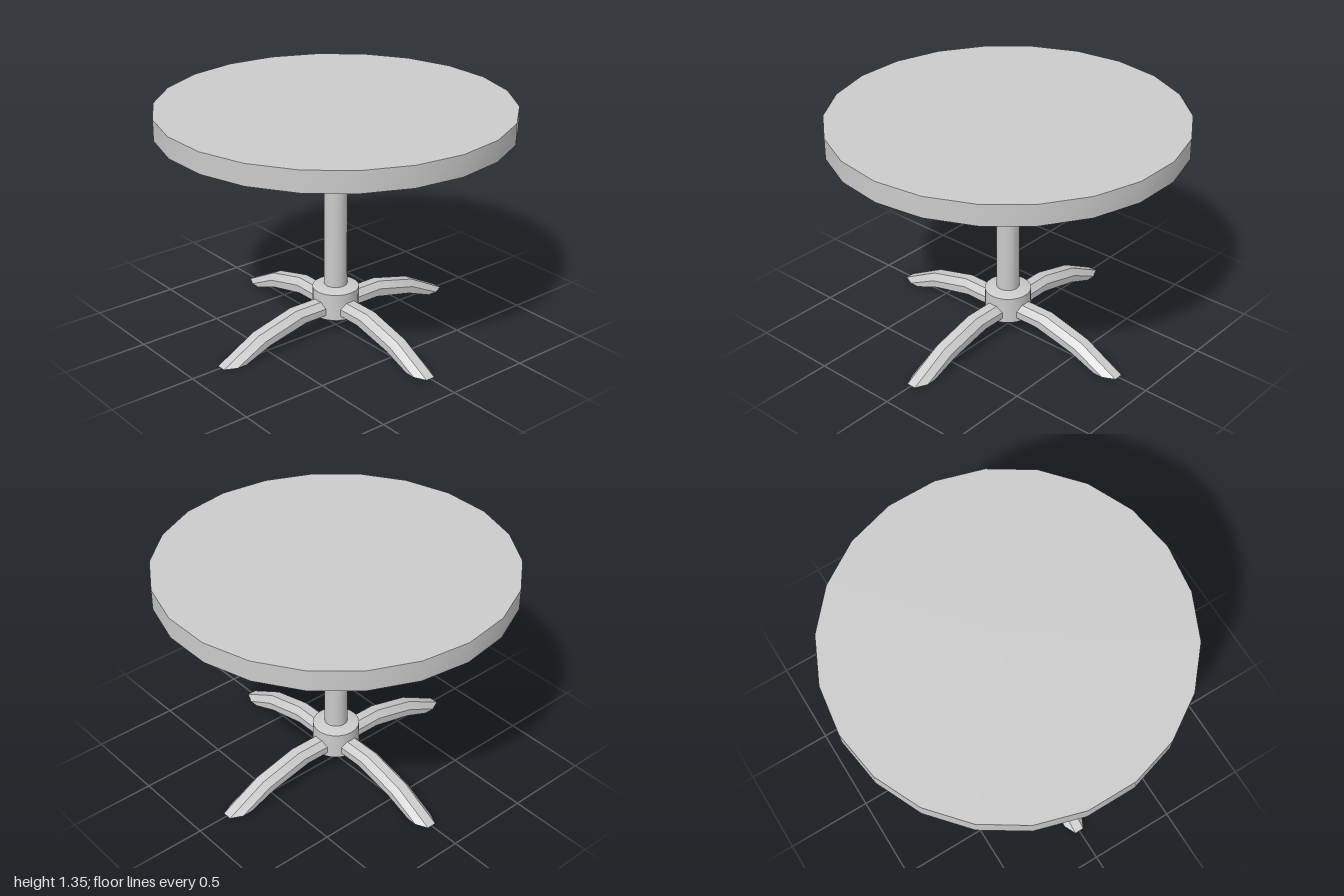
import * as THREE from 'three';
import { toCreasedNormals } from 'three/addons/utils/BufferGeometryUtils.js';

const SIDES = 22;
const CREASE = 0.5;
const material = new THREE.MeshStandardMaterial({ color: 0xcccccc });

function addMesh(parent, name, geometry) {
  const mesh = new THREE.Mesh(toCreasedNormals(geometry, CREASE), material);
  mesh.name = name;
  parent.add(mesh);
  return mesh;
}

// Turned part from [radius, y] points, listed bottom to top
function turned(profile) {
  return new THREE.LatheGeometry(profile.map(([r, y]) => new THREE.Vector2(r, y)), SIDES);
}

// Curved leg along +x: six-sided section with chamfered top, cut flat at the floor
function legGeometry() {
  const halfWidth = 0.061, topHalf = 0.028;
  // Each station: [x, y] of the bottom, shoulder and top edges
  const stations = [
    [[0.05, 0.122], [0.05, 0.162], [0.05, 0.197]],
    [[0.265, 0.122], [0.29, 0.164], [0.31, 0.197]],
    [[0.52, 0.064], [0.55, 0.098], [0.57, 0.13]],
    [[0.685, 0], [0.745, 0], [0.813, 0]],
  ];
  const positions = [], index = [];
  for (const [b, s, t] of stations) {
    positions.push(
      ...b, -halfWidth, ...b, halfWidth, ...s, halfWidth,
      ...t, topHalf, ...t, -topHalf, ...s, -halfWidth);
  }
  const n = 6, last = (stations.length - 1) * n;
  for (let i = 0; i < stations.length - 1; i++) {
    for (let j = 0; j < n; j++) {
      const a = i * n + j, b = i * n + (j + 1) % n;
      index.push(a, a + n, b, b, a + n, b + n);
    }
  }
  // End caps
  for (let j = 1; j < n - 1; j++) {
    index.push(0, j, j + 1, last, last + j + 1, last + j);
  }
  const geometry = new THREE.BufferGeometry();
  geometry.setAttribute('position', new THREE.Float32BufferAttribute(positions, 3));
  // Sections run anticlockwise seen from -x, so flip every face outward
  const outward = [];
  for (let i = 0; i < index.length; i += 3) outward.push(...orient(positions, index.slice(i, i + 3), stations));
  geometry.setIndex(outward);
  geometry.computeVertexNormals();
  return geometry;
}

// Order a triangle's corners so it faces away from the leg's centre line
function orient(p, tri, stations) {
  const [a, b, c] = tri.map((i) => new THREE.Vector3().fromArray(p, i * 3));
  const rings = [...new Set(tri.map((i) => Math.floor(i / 6)))];
  const core = new THREE.Vector3();
  for (const r of rings) {
    const [bot, , top] = stations[r];
    core.add(new THREE.Vector3((bot[0] + top[0]) / 2, (bot[1] + top[1]) / 2, 0));
  }
  core.divideScalar(rings.length);
  // A cap lies in one ring: measure it from the middle of the leg
  if (rings.length === 1) core.set(0.4, 0.13, 0);
  const normal = b.clone().sub(a).cross(c.clone().sub(a));
  const centre = a.clone().add(b).add(c).divideScalar(3);
  return normal.dot(centre.sub(core)) < 0 ? [tri[0], tri[2], tri[1]] : tri;
}

export function createModel() {
  const table = new THREE.Group();
  table.name = 'pedestalTable';

  // Round top
  addMesh(table, 'tableTop', new THREE.CylinderGeometry(1, 1, 0.12, SIDES)).position.y = 1.29;

  // Flared plate under the top
  addMesh(table, 'mountingPlate', turned([[0, 1.15], [0.066, 1.15], [0.167, 1.19], [0.167, 1.232]]));

  // Column
  addMesh(table, 'column', new THREE.CylinderGeometry(0.067, 0.067, 0.92, SIDES)).position.y = 0.7;

  // Hub with bevelled rims
  addMesh(table, 'hub', turned([
    [0, 0.077], [0.11, 0.077], [0.135, 0.095], [0.135, 0.255], [0.067, 0.272], [0, 0.272],
  ]));

  // Four legs
  const legs = new THREE.Group();
  legs.name = 'legs';
  table.add(legs);
  const geometry = legGeometry();
  ['leftLeg', 'backLeg', 'rightLeg', 'frontLeg'].forEach((name, i) => {
    addMesh(legs, name, geometry).rotation.y = i * Math.PI / 2;
  });

  return table;
}
